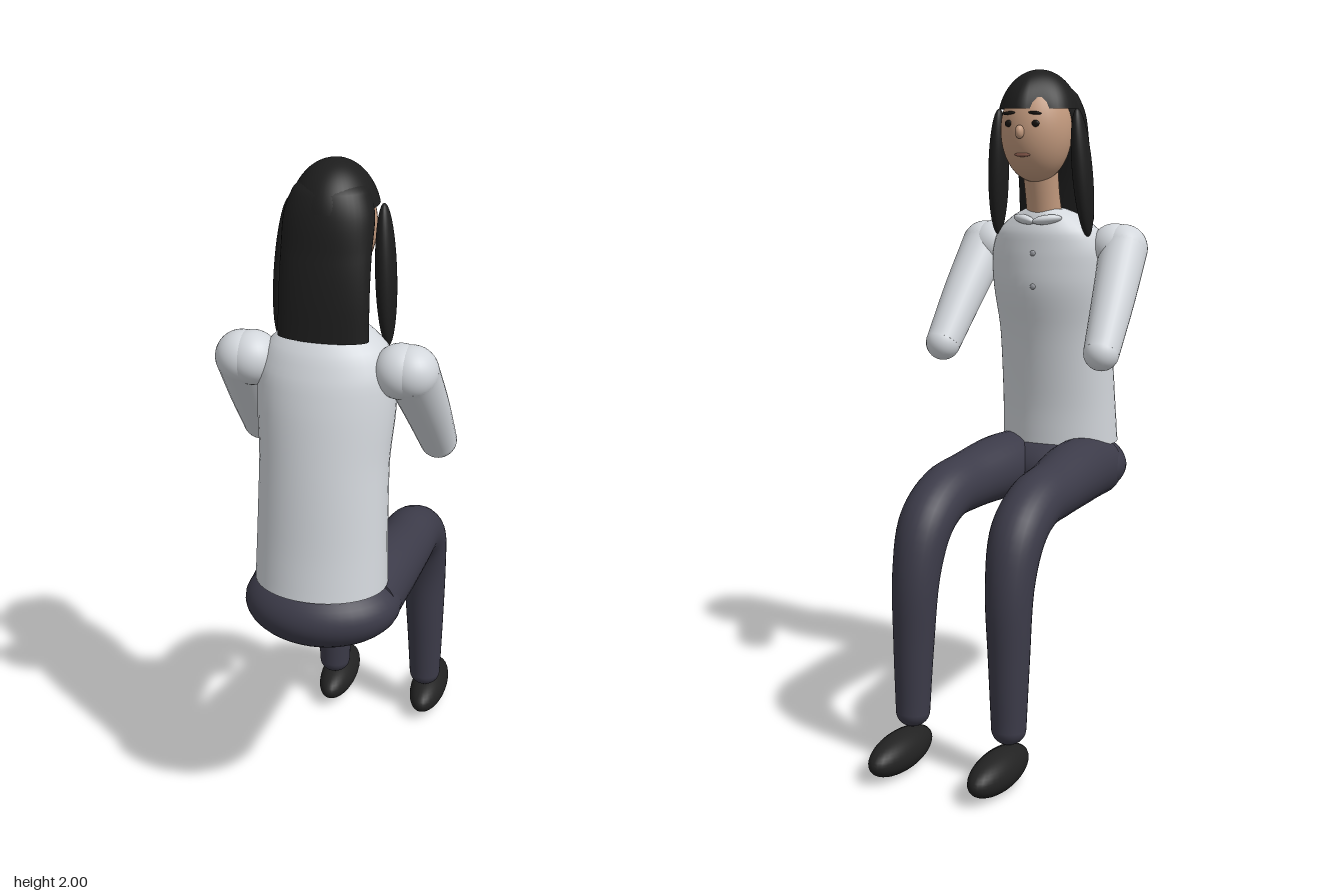
import * as THREE from 'three';

const mat = (name, color, side = THREE.FrontSide) => {
  const m = new THREE.MeshStandardMaterial({ color, side });
  m.name = name;
  return m;
};

const V = (x, y, z) => new THREE.Vector3(x, y, z);

// Closed skin over rings of points, with separate flat end caps
function skin(rings) {
  const n = rings[0].length, pos = [], idx = [];
  rings.forEach(r => r.forEach(p => pos.push(p.x, p.y, p.z)));
  for (let i = 0; i < rings.length - 1; i++)
    for (let j = 0; j < n; j++) {
      const a = i * n + j, b = i * n + (j + 1) % n;
      idx.push(a, a + n, b, b, a + n, b + n);
    }
  [[rings[0], false], [rings[rings.length - 1], true]].forEach(([r, flip]) => {
    const c = r.reduce((s, p) => s.add(p), V(0, 0, 0)).divideScalar(n);
    const base = pos.length / 3;
    pos.push(c.x, c.y, c.z);
    r.forEach(p => pos.push(p.x, p.y, p.z));
    for (let j = 0; j < n; j++) {
      const a = base + 1 + j, b = base + 1 + (j + 1) % n;
      idx.push(base, ...(flip ? [b, a] : [a, b]));
    }
  });
  const g = new THREE.BufferGeometry();
  g.setAttribute('position', new THREE.Float32BufferAttribute(pos, 3));
  g.setIndex(idx);
  g.computeVertexNormals();
  return g;
}

// Upright body from [y, centre z, half width, half depth], smoothed between rows
function upright(rows, steps = 30, n = 40) {
  const a = new THREE.CatmullRomCurve3(rows.map(r => V(r[0], r[1], 0)));
  const b = new THREE.CatmullRomCurve3(rows.map(r => V(r[2], r[3], 0)));
  return skin(Array.from({ length: steps + 1 }, (_, i) => {
    const p = a.getPoint(i / steps), q = b.getPoint(i / steps);
    return Array.from({ length: n }, (_, j) => {
      const t = j / n * Math.PI * 2;
      return V(q.x * Math.cos(t), p.x, p.y + q.y * Math.sin(t));
    });
  }));
}

// Limb along [x, y, z, radius] stations lying roughly in a side plane
function limb(rows, steps = 36, n = 28) {
  const c = new THREE.CatmullRomCurve3(rows.map(r => V(r[0], r[1], r[2])));
  const rad = new THREE.CatmullRomCurve3(rows.map(r => V(r[3], 0, 0)));
  return skin(Array.from({ length: steps + 1 }, (_, i) => {
    const t = i / steps, o = c.getPoint(t), d = c.getTangent(t), r = rad.getPoint(t).x;
    const u = V(1, 0, 0).addScaledVector(d, -d.x).normalize(), w = u.clone().cross(d);
    return Array.from({ length: n }, (_, j) => {
      const s = j / n * Math.PI * 2;
      return o.clone().addScaledVector(u, r * Math.cos(s)).addScaledVector(w, r * Math.sin(s));
    });
  }));
}

export function createModel() {
  const model = new THREE.Group();
  model.name = 'seatedPerson';
  const shirt = mat('shirt', 0xd3d7dc), trousers = mat('trousers', 0x3c3b49);
  const hair = mat('hair', 0x1d1d1d, THREE.DoubleSide), shoe = mat('shoe', 0x222222);
  const skinMat = mat('skin', 0xc39a7e), dark = mat('eye', 0x17130f);
  const lip = mat('lip', 0x8f5f50), button = mat('button', 0x9a9da3);

  const add = (name, geo, m, parent = model) => {
    const mesh = new THREE.Mesh(geo, m);
    mesh.name = name;
    parent.add(mesh);
    return mesh;
  };
  const ball = (name, m, p, r, seg = 32) => {
    const mesh = add(name, new THREE.SphereGeometry(1, seg, Math.round(seg * 0.7)), m);
    mesh.position.set(...p);
    mesh.scale.set(...r);
    return mesh;
  };

  // Torso, hips and neck
  const torsoRows = [
    [0.86, 0.368, 0.187, 0.148], [1.0, 0.355, 0.183, 0.14], [1.2, 0.33, 0.18, 0.14],
    [1.35, 0.303, 0.19, 0.143], [1.45, 0.29, 0.19, 0.132], [1.52, 0.277, 0.165, 0.115],
    [1.57, 0.265, 0.105, 0.085], [1.59, 0.25, 0.06, 0.06]];
  add('torso', upright(torsoRows), shirt);
  ball('hips', trousers, [0, 0.785, 0.352], [0.222, 0.115, 0.188], 40);
  add('neck', limb([[0, 1.54, 0.25, 0.056], [0, 1.63, 0.228, 0.052], [0, 1.74, 0.205, 0.054]], 8), skinMat);

  for (const s of [1, -1]) {
    // Bent leg with a rounded ankle
    add('leg', limb([
      [s * 0.118, 0.785, 0.36, 0.098], [s * 0.125, 0.79, 0.2, 0.1], [s * 0.142, 0.78, 0, 0.088],
      [s * 0.146, 0.765, -0.14, 0.083], [s * 0.148, 0.7, -0.245, 0.08],
      [s * 0.15, 0.57, -0.298, 0.07], [s * 0.154, 0.35, -0.312, 0.059], [s * 0.156, 0.155, -0.317, 0.05]]), trousers);
    ball('ankle', trousers, [s * 0.156, 0.155, -0.317], [0.05, 0.045, 0.05], 24);
    ball('shoe', shoe, [s * 0.158, 0.058, -0.386], [0.058, 0.057, 0.154]);

    // Sleeve reaching forward
    ball('shoulder', shirt, [s * 0.205, 1.472, 0.305], [0.075, 0.075, 0.075]);
    ball('sleeveTop', shirt, [s * 0.234, 1.472, 0.305], [0.073, 0.073, 0.073]);
    add('sleeve', limb([[s * 0.234, 1.472, 0.305, 0.073], [s * 0.25, 1.33, 0.19, 0.064],
      [s * 0.262, 1.185, 0.075, 0.053]], 16), shirt);
    ball('cuff', shirt, [s * 0.262, 1.185, 0.075], [0.053, 0.053, 0.053], 24);

    // Collar flap
    const flap = ball('collar', shirt, [s * 0.038, 1.56, 0.178], [0.045, 0.014, 0.02], 20);
    flap.rotation.set(0.3, s * -0.4, s * 0.25);

    // Hanging side lock
    const lock = ball('sideLock', hair, [s * 0.139, 1.698, 0.209], [0.028, 0.19, 0.042]);
    lock.rotation.set(-0.1, 0, s * 0.06);
  }

  // Head and a point finder on the face
  const hc = [0, 1.822, 0.183], hr = [0.106, 0.152, 0.109];
  ball('head', skinMat, hc, hr, 40);
  const faceZ = (x, y) => hc[2] - hr[2] * Math.sqrt(1 - (x / hr[0]) ** 2 - ((y - hc[1]) / hr[1]) ** 2);
  ball('nose', skinMat, [0, 1.818, 0.068], [0.013, 0.02, 0.016], 20);
  for (const s of [1, -1]) {
    const x = s * 0.043;
    ball('eye', dark, [x, 1.842, faceZ(x, 1.842)], [0.013, 0.01, 0.006], 16);
    const brow = ball('brow', dark, [x, 1.872, faceZ(x, 1.872) - 0.008], [0.022, 0.005, 0.006], 16);
    brow.rotation.z = s * -0.08;
  }
  ball('mouth', lip, [0, 1.752, faceZ(0, 1.752)], [0.026, 0.006, 0.005], 16);

  // Hair cap, swept thinner over one side of the forehead
  const cap = new THREE.SphereGeometry(1, 48, 24, 0, Math.PI * 2, 0, Math.PI * 0.41);
  const p = cap.attributes.position;
  for (let i = 0; i < p.count; i++)
    if (p.getX(i) < 0 && p.getZ(i) < 0)
      p.setZ(i, p.getZ(i) * (1 - 0.18 * Math.sin(Math.PI * Math.min(1, -p.getX(i)))));
  cap.scale(0.122, 0.16, 0.14);
  cap.translate(0, 1.84, 0.205);
  cap.computeVertexNormals();
  add('hairCap', cap, hair);

  // Long hair down the back
  add('backHair', upright([
    [1.555, 0.332, 0.124, 0.043], [1.68, 0.318, 0.122, 0.05], [1.78, 0.295, 0.121, 0.06],
    [1.87, 0.262, 0.12, 0.08], [1.93, 0.24, 0.1, 0.08], [1.965, 0.22, 0.06, 0.06]]), hair);

  // Shirt buttons
  for (const [y, z] of [[1.46, 0.159], [1.36, 0.16]])
    ball('button', button, [0, y, z], [0.009, 0.009, 0.005], 16);

  return model;
}
